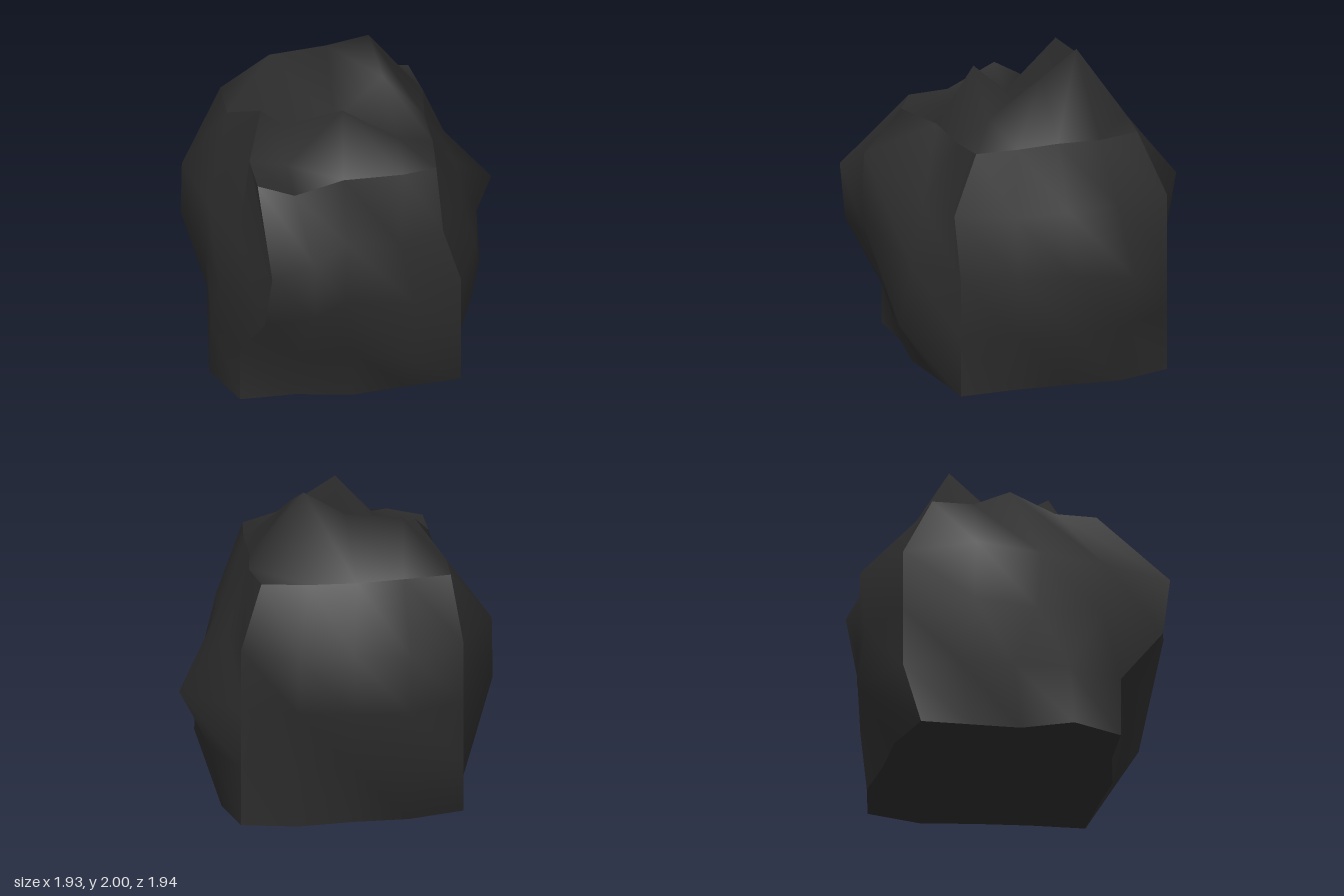
import * as THREE from 'three';

const levels = [0, 0.38, 0.76, 1.14, 1.52];

// corner edges of the boulder, bottom to top, as [x, z]
const corners = [
  [[-0.75, 0.61], [-0.75, 0.61], [-0.64, 0.89], [-0.6, 0.94], [-0.62, 0.48]],
  [[0.62, 0.61], [0.62, 0.61], [0.62, 0.61], [0.51, 0.61], [0.49, 0.46]],
  [[0.62, -0.74], [0.62, -0.74], [0.62, -0.74], [0.62, -0.74], [0.48, -0.6]],
  [[-0.76, -0.63], [-0.75, -0.74], [-0.75, -0.74], [-0.75, -0.74], [-0.69, -0.55]],
];

// each side: axis it faces, flat position, and bulge of its three inner columns per level
const sides = [
  { name: 'frontFace', axis: 'z', base: 0.61, sign: 1,
    bulge: [[0, 0.06, 0.025], [0.12, 0.15, 0.275], [0.26, 0.36, 0.2], [0.22, 0.345, 0.1], [0, -0.11, -0.11]] },
  { name: 'leftFace', axis: 'x', base: 0.62, sign: 1,
    bulge: [[0.01, 0.04, 0.085], [0.12, 0.22, 0.15], [0.14, 0.2, 0.345], [0.05, 0.08, 0.05], [-0.11, -0.12, -0.09]] },
  { name: 'backFace', axis: 'z', base: -0.74, sign: -1,
    bulge: [[0.06, 0.015, 0], [0.1, 0.1, 0.23], [0.12, 0.17, 0.18], [0.19, 0.16, 0.21], [-0.1, -0.1, -0.14]] },
  { name: 'rightFace', axis: 'x', base: -0.75, sign: -1,
    bulge: [[0.01, 0.01, 0.14], [0.1, 0.1, 0.125], [0.22, 0.13, 0.1], [0.215, 0.12, 0], [-0.06, -0.1, -0.12]] },
];

// inner crown points, front row to back row: front knob, valley, rear peak
const crown = [
  [[-0.41, 1.5, 0.27], [-0.06, 1.88, 0.27], [0.28, 1.65, 0.3]],
  [[-0.38, 1.56, -0.06], [-0.06, 1.56, -0.06], [0.24, 1.86, -0.06]],
  [[-0.41, 1.85, -0.4], [-0.06, 1.88, -0.4], [0.19, 2.0, -0.31]],
];

// sixteen points round the boulder at one level
function makeRing(l) {
  const ring = [];
  sides.forEach((side, s) => {
    const [ax, az] = corners[s][l];
    const [bx, bz] = corners[(s + 1) % 4][l];
    ring.push(new THREE.Vector3(ax, levels[l], az));
    side.bulge[l].forEach((b, k) => {
      const t = (k + 1) / 4;
      const p = new THREE.Vector3(THREE.MathUtils.lerp(ax, bx, t), levels[l], THREE.MathUtils.lerp(az, bz, t));
      p[side.axis] = side.base + side.sign * b;
      ring.push(p);
    });
  });
  return ring;
}

// smooth surface over rows of points
function gridGeometry(rows) {
  const n = rows[0].length;
  const index = [];
  for (let j = 0; j < rows.length - 1; j++) {
    for (let i = 0; i < n - 1; i++) {
      const a = j * n + i;
      index.push(a, a + 1, a + n, a + 1, a + n + 1, a + n);
    }
  }
  const geo = new THREE.BufferGeometry().setFromPoints(rows.flat());
  geo.setIndex(index);
  geo.computeVertexNormals();
  return geo;
}

export function createModel() {
  const group = new THREE.Group();
  group.name = 'boulder';
  const stone = new THREE.MeshStandardMaterial({ color: 0x2b2b2b, side: THREE.DoubleSide });
  stone.name = 'dark stone';
  const add = (name, geo) => {
    const mesh = new THREE.Mesh(geo, stone);
    mesh.name = name;
    group.add(mesh);
  };

  const rings = levels.map((_, l) => makeRing(l));
  // jutting brow in the middle of the front
  rings[2][2].set(-0.15, 0.94, 0.97);
  rings[3][2].set(-0.14, 1.37, 0.955);
  // front lip and the raised shoulder on the right
  const rim = rings[4];
  rim[1].x = -0.41;
  rim[2].x = -0.09;
  rim[3].x = 0.28;
  rim[14].set(-0.52, 1.7, -0.04);

  // four sides
  sides.forEach((side, s) => {
    add(side.name, gridGeometry(rings.map((r) => [0, 1, 2, 3, 4].map((k) => r[(s * 4 + k) % 16]))));
  });

  // crown
  const rows = [rim.slice(0, 5)];
  crown.forEach((points, j) => {
    rows.push([rim[15 - j], ...points.map((p) => new THREE.Vector3(...p)), rim[5 + j]]);
  });
  rows.push(rim.slice(8, 13).reverse());
  add('crown', gridGeometry(rows));

  // flat underside
  const outline = rings[0].map((p) => new THREE.Vector2(p.x, p.z));
  add('underside', new THREE.ShapeGeometry(new THREE.Shape(outline)).rotateX(Math.PI / 2));
  return group;
}
